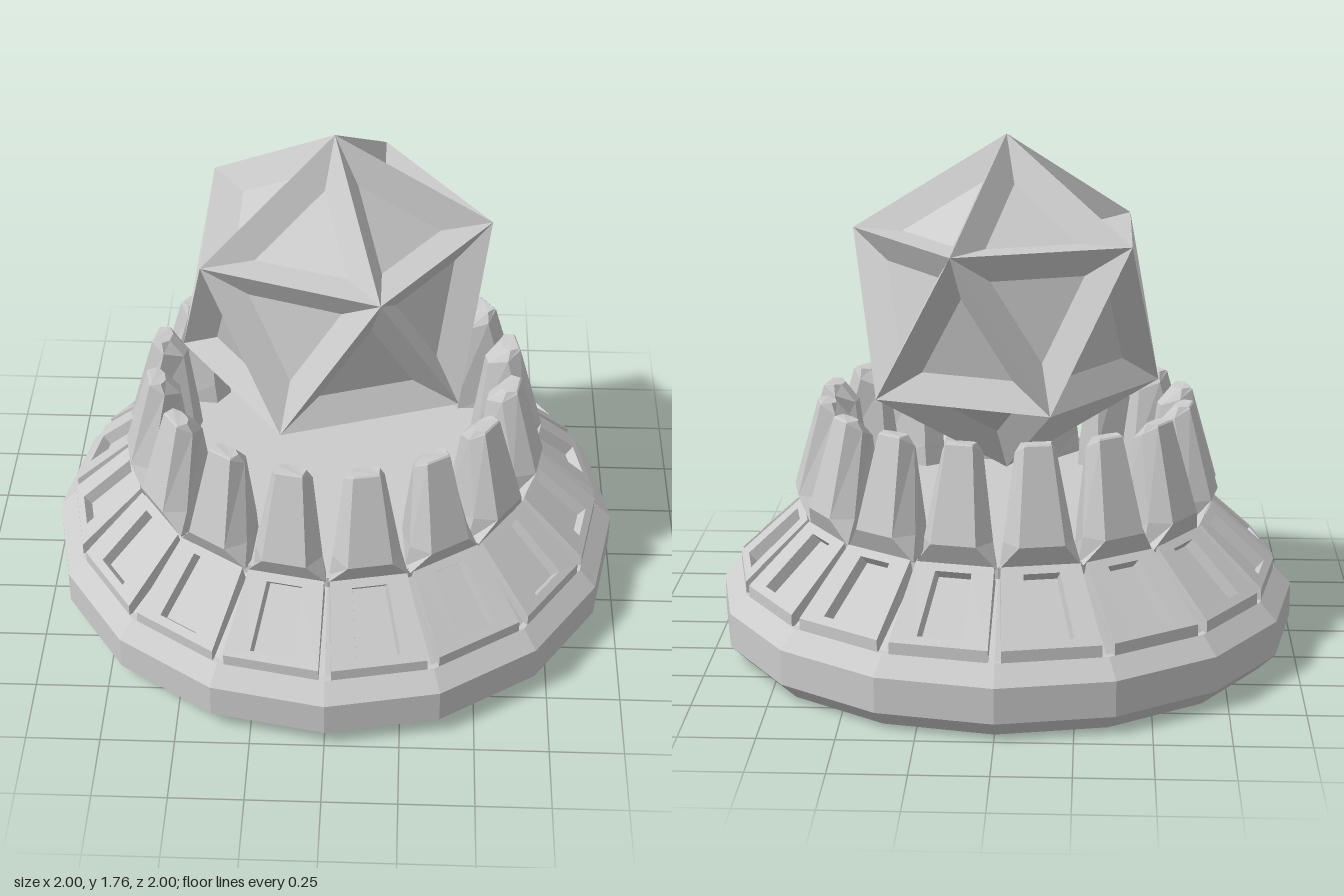
import * as THREE from 'three';
import { mergeGeometries } from 'three/addons/utils/BufferGeometryUtils.js';

const SIDES = 16;
const STEP = (Math.PI * 2) / SIDES;
const material = new THREE.MeshStandardMaterial({ color: 0xcccccc, flatShading: true });

// Skins a list of rings (each counterclockwise seen from outside) and caps the last one
function loft(rings) {
  const pos = [];
  const tri = (...pts) => pts.forEach((p) => pos.push(...p));
  const n = rings[0].length;
  for (let r = 0; r < rings.length - 1; r++) {
    for (let i = 0; i < n; i++) {
      const j = (i + 1) % n, lo = rings[r], hi = rings[r + 1];
      tri(lo[i], lo[j], hi[j]);
      tri(lo[i], hi[j], hi[i]);
    }
  }
  const cap = rings[rings.length - 1];
  for (let i = 1; i < n - 1; i++) tri(cap[0], cap[i], cap[i + 1]);
  const geo = new THREE.BufferGeometry();
  geo.setAttribute('position', new THREE.Float32BufferAttribute(pos, 3));
  geo.computeVertexNormals();
  return geo;
}

function part(name, geometry) {
  const mesh = new THREE.Mesh(geometry, material);
  mesh.name = name;
  return mesh;
}

// Repeats one geometry around the middle, centred on each flat side
function around(name, geometry) {
  const group = new THREE.Group();
  group.name = name + 's';
  for (let k = 0; k < SIDES; k++) {
    const mesh = part(name, geometry);
    mesh.rotation.y = (k + 0.5) * STEP;
    group.add(mesh);
  }
  return group;
}

// Sixteen-sided plinth with a sloping shoulder behind the panels
function makeBase() {
  const profile = [[0, 0], [0.94, 0], [1, 0.06], [1, 0.18], [0.94, 0.24], [0.92, 0.24], [0.69, 0.43], [0.69, 0.47], [0, 0.47]];
  const geo = new THREE.LatheGeometry(profile.map(([x, y]) => new THREE.Vector2(x, y)), SIDES).toNonIndexed();
  geo.computeVertexNormals();
  return geo;
}

// Sloped panel: outer walls, face, then a sunken window
function makePanel() {
  const quad = (wLow, yLow, zLow, wHigh, yHigh, zHigh) => [
    [-wLow, yLow, zLow], [wLow, yLow, zLow], [wHigh, yHigh, zHigh], [-wHigh, yHigh, zHigh],
  ];
  return loft([
    quad(0.162, 0.23, 0.922, 0.13, 0.42, 0.69),
    quad(0.162, 0.28, 0.922, 0.13, 0.48, 0.706),
    quad(0.075, 0.3, 0.9, 0.06, 0.46, 0.728),
    quad(0.07, 0.27, 0.873, 0.055, 0.43, 0.701),
  ]);
}

// Tapered faceted tooth leaning inward
function makeTooth() {
  // ring of six corners from [halfWidth, y, radius] at the inner, middle and outer edges
  const ring = (inner, mid, outer) => {
    const half = [outer, mid, inner];
    return [...half, ...half.slice().reverse().map(([w, y, z]) => [-w, y, z])];
  };
  return loft([
    ring([0.04, 0.46, 0.5], [0.125, 0.46, 0.65], [0.135, 0.47, 0.698]),
    ring([0.04, 0.55, 0.51], [0.115, 0.55, 0.66], [0.075, 0.55, 0.732]),
    ring([0.025, 0.8, 0.54], [0.068, 0.83, 0.6], [0.045, 0.86, 0.648]),
    ring([0.022, 0.86, 0.59], [0.05, 0.865, 0.61], [0.042, 0.865, 0.643]),
  ]);
}

// Twenty-sided gem whose every face is pressed into a flat-bottomed dimple
function makeGem() {
  const R = 0.585, centreY = 1.18;
  const ringR = (R * 2) / Math.sqrt(5), ringY = R / Math.sqrt(5);
  const corner = (deg, y) => {
    const a = THREE.MathUtils.degToRad(deg);
    return new THREE.Vector3(ringR * Math.cos(a), y, ringR * Math.sin(a));
  };
  const up = (k) => corner(72 * k, ringY);
  const low = (k) => corner(72 * k + 36, -ringY);
  const top = new THREE.Vector3(0, R, 0), bottom = new THREE.Vector3(0, -R, 0);
  const faces = [];
  for (let k = 0; k < 5; k++) {
    faces.push([top, up(k + 1), up(k)], [up(k + 1), low(k), up(k)]);
    faces.push([low(k + 1), low(k), up(k + 1)], [bottom, low(k), low(k + 1)]);
  }
  const dimples = faces.map((face) => {
    const tip = new THREE.Vector3();
    face.forEach((v) => tip.addScaledVector(v, 0.708 / 3));
    const inset = face.map((v) => v.clone().lerp(tip, 0.48));
    return loft([face, inset].map((ring) => ring.map((v) => v.toArray())));
  });
  return mergeGeometries(dimples).translate(0, centreY, 0);
}

export function createModel() {
  const model = new THREE.Group();
  model.name = 'gemOnCrownPedestal';
  model.add(
    part('base', makeBase()),
    around('panel', makePanel()),
    around('tooth', makeTooth()),
    part('gem', makeGem()),
  );
  return model;
}
